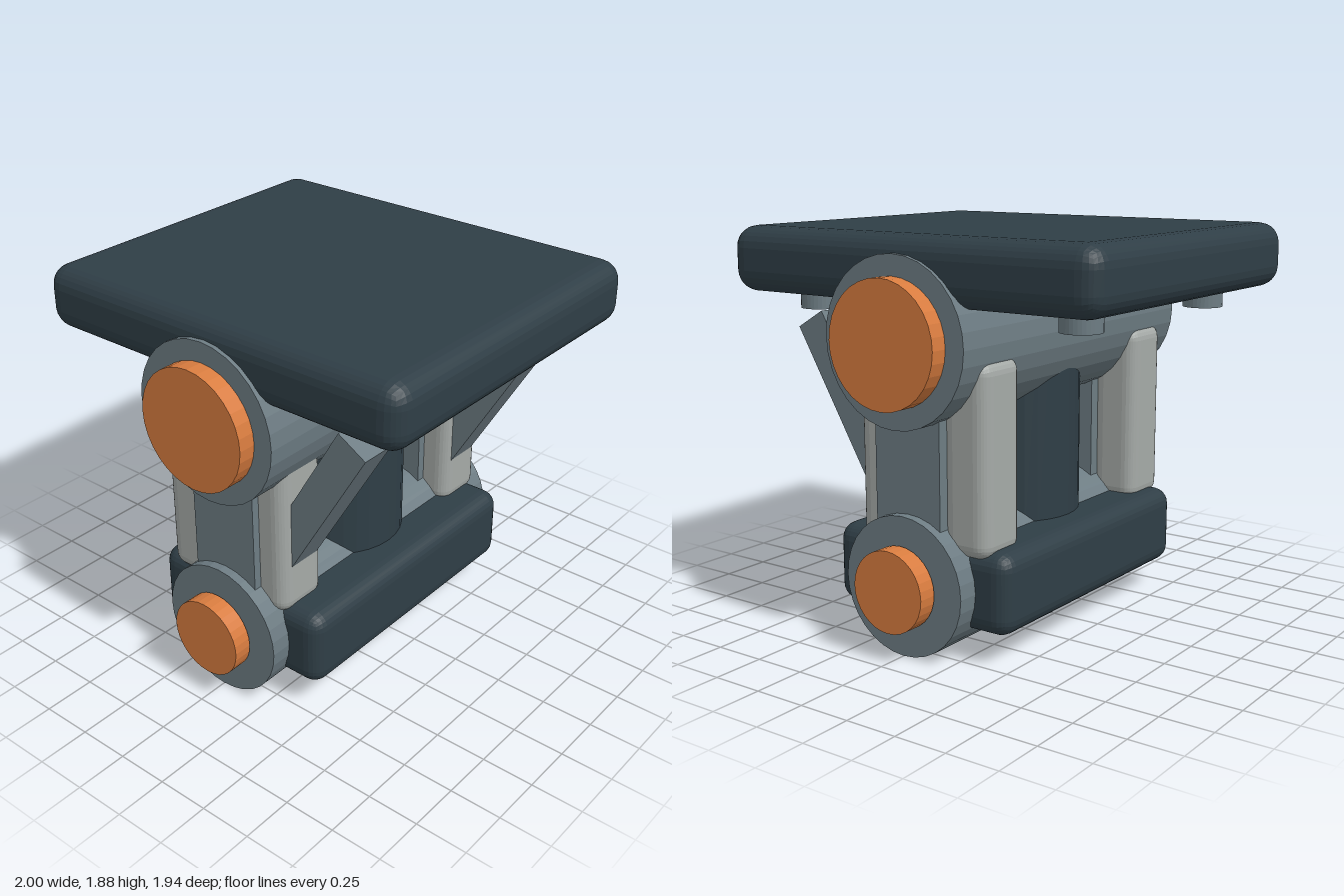
import * as THREE from 'three';
import { RoundedBoxGeometry } from 'three/addons/geometries/RoundedBoxGeometry.js';

const paint = (name, color) => {
  const m = new THREE.MeshStandardMaterial({ color });
  m.name = name;
  return m;
};

export function createModel() {
  const dark = paint('dark slate', 0x2f3e46);
  const steel = paint('steel grey', 0x6d7c83);
  const pale = paint('pale grey', 0xa5aaa7);
  const orange = paint('orange', 0xd87c3f);

  const model = new THREE.Group();
  model.name = 'suspensionJoint';

  // Adds a faceted mesh to the model
  const add = (name, geometry, material, x, y, z) => {
    const g = geometry.index ? geometry.toNonIndexed() : geometry;
    g.computeVertexNormals();
    const mesh = new THREE.Mesh(g, material);
    mesh.name = name;
    mesh.position.set(x, y, z);
    model.add(mesh);
    return mesh;
  };
  const upright = (r, h) => new THREE.CylinderGeometry(r, r, h, 32);
  const barrel = (r, length) => upright(r, length).rotateX(Math.PI / 2);
  const slab = (w, h, d, r) => new RoundedBoxGeometry(w, h, d, 3, r);

  // Top plate and base block
  add('topPlate', slab(2, 0.305, 1.73, 0.1), dark, 0, 1.733, 0);
  add('baseBlock', slab(0.98, 0.38, 1.48, 0.08), dark, 0, 0.33, 0);

  // Horizontal pivots and the central column between them
  add('upperPivot', barrel(0.381, 1.77), steel, 0, 1.425, 0);
  add('lowerPivot', barrel(0.325, 1.69), steel, 0, 0.328, 0);
  add('centralColumn', upright(0.325, 1.0), dark, 0, 0.9, 0);

  for (const side of [1, -1]) {
    // Pivot end caps
    add('upperCap', barrel(0.286, 0.1), orange, 0, 1.425, side * 0.92);
    add('lowerCap', barrel(0.19, 0.092), orange, 0, 0.33, side * 0.905);

    // Link arm joining the pivots
    add('linkArm', new THREE.BoxGeometry(0.36, 1.0, 0.365), steel, 0, 0.88, side * 0.617);

    // Padded covers on each side of the link
    add('leftCover', slab(0.24, 0.88, 0.28, 0.065), pale, 0.197, 0.92, side * 0.62);
    add('rightCover', slab(0.24, 0.88, 0.28, 0.065), pale, -0.275, 0.92, side * 0.62);

    // Slanted brace
    const brace = add('brace', new THREE.BoxGeometry(0.165, 0.9, 0.17), steel, 0.423, 1.073, side * 0.615);
    brace.rotation.z = -0.533;

    // Pegs under the top plate
    for (const x of [0.73, -0.73]) {
      add('platePeg', upright(0.095, 0.14), steel, x, 1.563, side * 0.54);
    }
  }

  return model;
}
